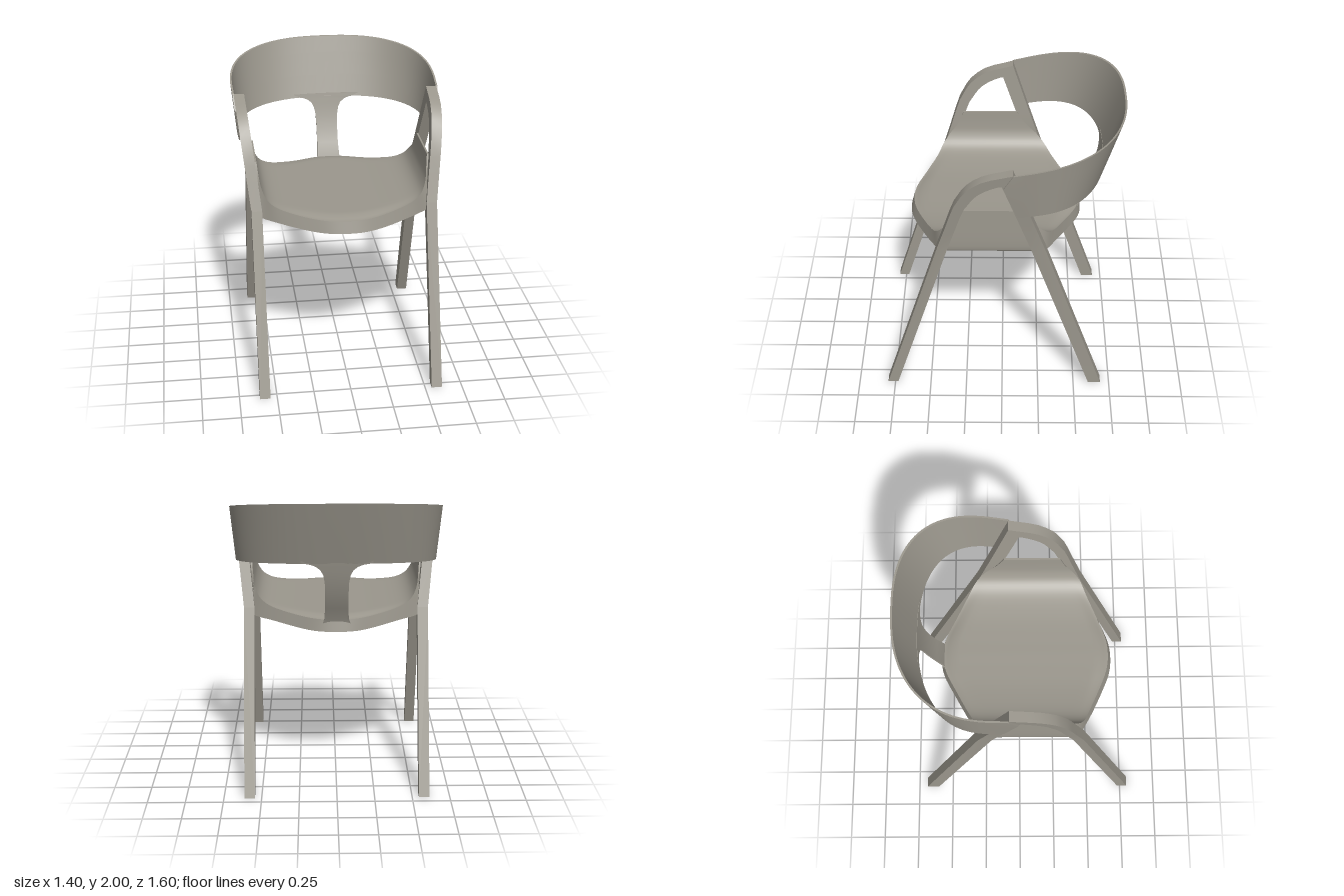
import * as THREE from 'three';
import { toCreasedNormals } from 'three/addons/utils/BufferGeometryUtils.js';

const V = (x, y, z) => new THREE.Vector3(x, y, z);
const lerp = THREE.MathUtils.lerp;
const smooth = THREE.MathUtils.smoothstep;

// Closed solid between two surfaces P(u,v) and Q(u,v), joined around the rim.
function shell(P, Q, nu, nv, crease = 0.6) {
  const tris = [];
  const quad = (a, b, c, d) => tris.push([a, b, c], [a, c, d]);
  const p = (i, j) => P(i / nu, j / nv);
  const q = (i, j) => Q(i / nu, j / nv);
  for (let i = 0; i < nu; i++) {
    for (let j = 0; j < nv; j++) {
      quad(p(i, j), p(i + 1, j), p(i + 1, j + 1), p(i, j + 1));
      quad(q(i, j), q(i, j + 1), q(i + 1, j + 1), q(i + 1, j));
    }
    quad(p(i, 0), q(i, 0), q(i + 1, 0), p(i + 1, 0));
    quad(p(i, nv), p(i + 1, nv), q(i + 1, nv), q(i, nv));
  }
  for (let j = 0; j < nv; j++) {
    quad(p(0, j), p(0, j + 1), q(0, j + 1), q(0, j));
    quad(p(nu, j), q(nu, j), q(nu, j + 1), p(nu, j + 1));
  }
  // Turn the faces outward if the enclosed volume is negative
  let volume = 0;
  for (const [a, b, c] of tris) volume += a.dot(b.clone().cross(c));
  const points = tris.flatMap(([a, b, c]) => (volume < 0 ? [a, c, b] : [a, b, c]));
  return toCreasedNormals(new THREE.BufferGeometry().setFromPoints(points), crease);
}

// Side frame: front leg, arm bend and back leg, as [outer z, y, inner z, y]
const FRAME = [
  [0.80, 0, 0.73, 0], [0.425, 1.2, 0.356, 1.2], [0.365, 1.39, 0.296, 1.39],
  [0.335, 1.49, 0.265, 1.49], [0.304, 1.58, 0.238, 1.56], [0.255, 1.67, 0.2, 1.62],
  [0.225, 1.71, 0.172, 1.66], [0.18, 1.75, 0.14, 1.69], [0.13, 1.782, 0.1, 1.716],
  [0.07, 1.805, 0.055, 1.737], [0, 1.822, 0.02, 1.75], [-0.068, 1.84, 0, 1.75],
  [-0.18, 1.5, -0.087, 1.5], [-0.282, 1.2, -0.19, 1.2], [-0.69, 0, -0.605, 0],
];
function frameGeometry(side) {
  const n = FRAME.length - 1;
  const face = (x) => (u, v) => {
    const [oz, oy, iz, iy] = FRAME[Math.round(v * n)];
    const y = lerp(oy, iy, u);
    return V(side * (x + Math.max(0, y - 1.2) * 0.11), y, lerp(oz, iz, u));
  };
  return shell(face(0.615), face(0.545), 1, n);
}

// Seat: half sections from the middle to the side, as [x, y, front z, back z]
const SEAT_TOP = [
  [0, 1.2, 0.603, -0.515], [0.12, 1.2, 0.588, -0.497], [0.27, 1.205, 0.53, -0.423],
  [0.42, 1.225, 0.463, -0.345], [0.5, 1.265, 0.425, -0.295], [0.54, 1.33, 0.375, -0.235],
  [0.555, 1.4, 0.32, -0.16], [0.565, 1.49, 0.28, -0.1],
];
const SEAT_BOTTOM = [
  [0, 1.143, 0.625, -0.53], [0.12, 1.143, 0.61, -0.512], [0.27, 1.143, 0.55, -0.437],
  [0.42, 1.143, 0.48, -0.357], [0.52, 1.143, 0.425, -0.3], [0.57, 1.16, 0.4, -0.26],
  [0.587, 1.21, 0.38, -0.24], [0.578, 1.49, 0.28, -0.1],
];
function seatSurface(rows, droop, lip) {
  const all = [...rows.slice(1).reverse().map(([x, ...r]) => [-x, ...r]), ...rows];
  const edge = (k) => new THREE.CatmullRomCurve3(
    all.map((r) => V(r[0], r[1], r[k])), false, 'catmullrom');
  const front = edge(2), back = edge(3);
  return (u, v) => {
    const a = front.getPoint(u), b = back.getPoint(u);
    const point = a.clone().lerp(b, 0.5 - 0.5 * Math.cos(Math.PI * v));
    // Lips turn down close to the front and back edges
    const nearFront = 1 - smooth(a.z - point.z, 0, lip);
    const nearBack = 1 - smooth(point.z - b.z, 0, lip);
    point.y -= droop * (nearFront * smooth(a.z, 0.39, 0.6) + nearBack * smooth(-b.z, 0.28, 0.51));
    return point;
  };
}

// Backrest band: leaning, squared half ellipse with straight ends
const BAND_ROWS = [[0, -0.1], [0.37, -0.055], [0.74, -0.01], [1, -0.07]];
function bandSurface(inset) {
  const power = 2 / 2.45;
  return (u, v) => {
    const [h, endZ] = BAND_ROWS[Math.round(v * 3)];
    const s = u * 2 - 1, t = Math.abs(s), bend = 0.9;
    const a = 0.665 + 0.035 * h - inset, b = 0.47 + 0.13 * h - inset;
    const angle = Math.min(t / bend, 1) * Math.PI / 2;
    const straight = Math.max(0, (t - bend) / (1 - bend));
    const x = Math.sign(s) * (a * Math.sin(angle) ** power - 0.006 * straight);
    const z = lerp(-0.2 - b * Math.max(0, Math.cos(angle)) ** power, endZ, straight);
    return V(x, lerp(1.485 - 0.157 * z, 1.825 - 0.219 * z, h), z);
  };
}

// Back spine: stations from the seat up, as [y, z, half width]
const SPINE = [
  [1.14, -0.51, 0.095], [1.185, -0.522, 0.08], [1.27, -0.568, 0.075], [1.38, -0.615, 0.075],
  [1.46, -0.639, 0.078], [1.51, -0.653, 0.087], [1.545, -0.661, 0.104],
  [1.57, -0.667, 0.135], [1.583, -0.67, 0.17], [1.592, -0.672, 0.23], [1.61, -0.676, 0.23],
];
function spineSurface(offset) {
  return (u, v) => {
    const [y, z, w] = SPINE[Math.round(v * (SPINE.length - 1))];
    const x = (u * 2 - 1) * w;
    return V(x, y, z + 0.24 * x * x + offset);
  };
}

export function createModel() {
  const model = new THREE.Group();
  model.name = 'armchair';
  const wood = new THREE.MeshStandardMaterial({ color: 0x9b978d });
  wood.name = 'warm grey wood';
  const add = (name, geometry) => {
    const mesh = new THREE.Mesh(geometry, wood);
    mesh.name = name;
    model.add(mesh);
  };

  add('leftSideFrame', frameGeometry(1));
  add('rightSideFrame', frameGeometry(-1));
  add('seat', shell(seatSurface(SEAT_TOP, 0.02, 0.07), seatSurface(SEAT_BOTTOM, 0.042, 0.12), 56, 20, 0.9));
  add('backrestBand', shell(bandSurface(0), bandSurface(0.012), 60, 3));
  add('backSpine', shell(spineSurface(0.001), spineSurface(0.013), 10, SPINE.length - 1));
  return model;
}
